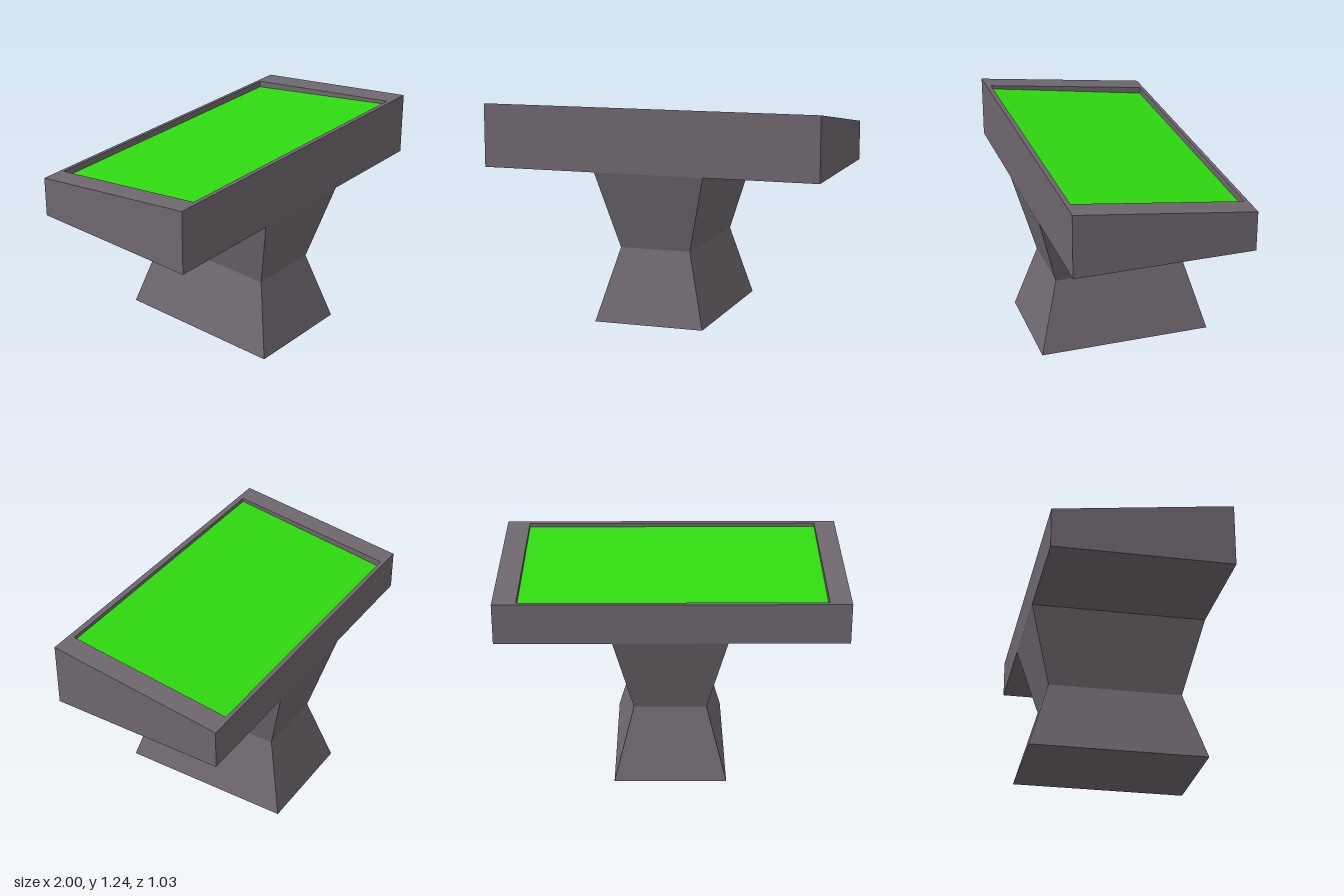
import * as THREE from 'three';

// Rectangular ring, counter-clockwise from above; height runs from back to front
function ring(x0, x1, z0, z1, yBack, yFront = yBack) {
  return [[x0, yFront, z1], [x1, yFront, z1], [x1, yBack, z0], [x0, yBack, z0]];
}

// Flat-sided skin through a stack of rings, with optional end caps
function loft(rings, { bottom = false, top = false } = {}) {
  const pos = [];
  const quad = (a, b, c, d) => [a, b, c, a, c, d].forEach((p) => pos.push(...p));
  for (let r = 0; r < rings.length - 1; r++) {
    const lo = rings[r], hi = rings[r + 1];
    for (let i = 0; i < 4; i++) {
      const j = (i + 1) % 4;
      quad(lo[i], lo[j], hi[j], hi[i]);
    }
  }
  if (bottom) quad(...[...rings[0]].reverse());
  if (top) quad(...rings[rings.length - 1]);
  const geo = new THREE.BufferGeometry();
  geo.setAttribute('position', new THREE.Float32BufferAttribute(pos, 3));
  geo.computeVertexNormals();
  return geo;
}

export function createModel() {
  const grey = new THREE.MeshStandardMaterial({ color: 0x6f686f });
  grey.name = 'warmGrey';
  const green = new THREE.MeshStandardMaterial({ color: 0x30db10 });
  green.name = 'brightGreen';

  const group = new THREE.Group();
  group.name = 'consoleTable';
  const add = (name, geo, mat) => {
    const mesh = new THREE.Mesh(geo, mat);
    mesh.name = name;
    group.add(mesh);
  };

  const D = 0.517;          // half depth
  const underside = 0.872;  // bottom of the tabletop
  const rimY = (z) => 1.175 + 0.134 * z;

  // Hourglass pedestal
  add('pedestal', loft([
    ring(-0.315, 0.335, -D, D, 0),
    ring(-0.2, 0.22, -0.395, 0.395, 0.423),
    ring(-0.315, 0.335, -D, D, underside),
  ], { bottom: true }), grey);

  // Sloped tabletop: outer walls, rim and inner recess walls
  const floor = ring(-0.875, 0.865, -0.493, 0.486, 1.07, 1.219);
  add('tabletop', loft([
    ring(-1, 1, -D, D, underside),
    ring(-1, 1, -D, D, rimY(-D), rimY(D)),
    ring(-0.875, 0.865, -0.493, 0.486, rimY(-0.493), rimY(0.486)),
    floor,
  ], { bottom: true }), grey);

  // Sunken screen panel
  add('screen', loft([floor], { top: true }), green);

  return group;
}
